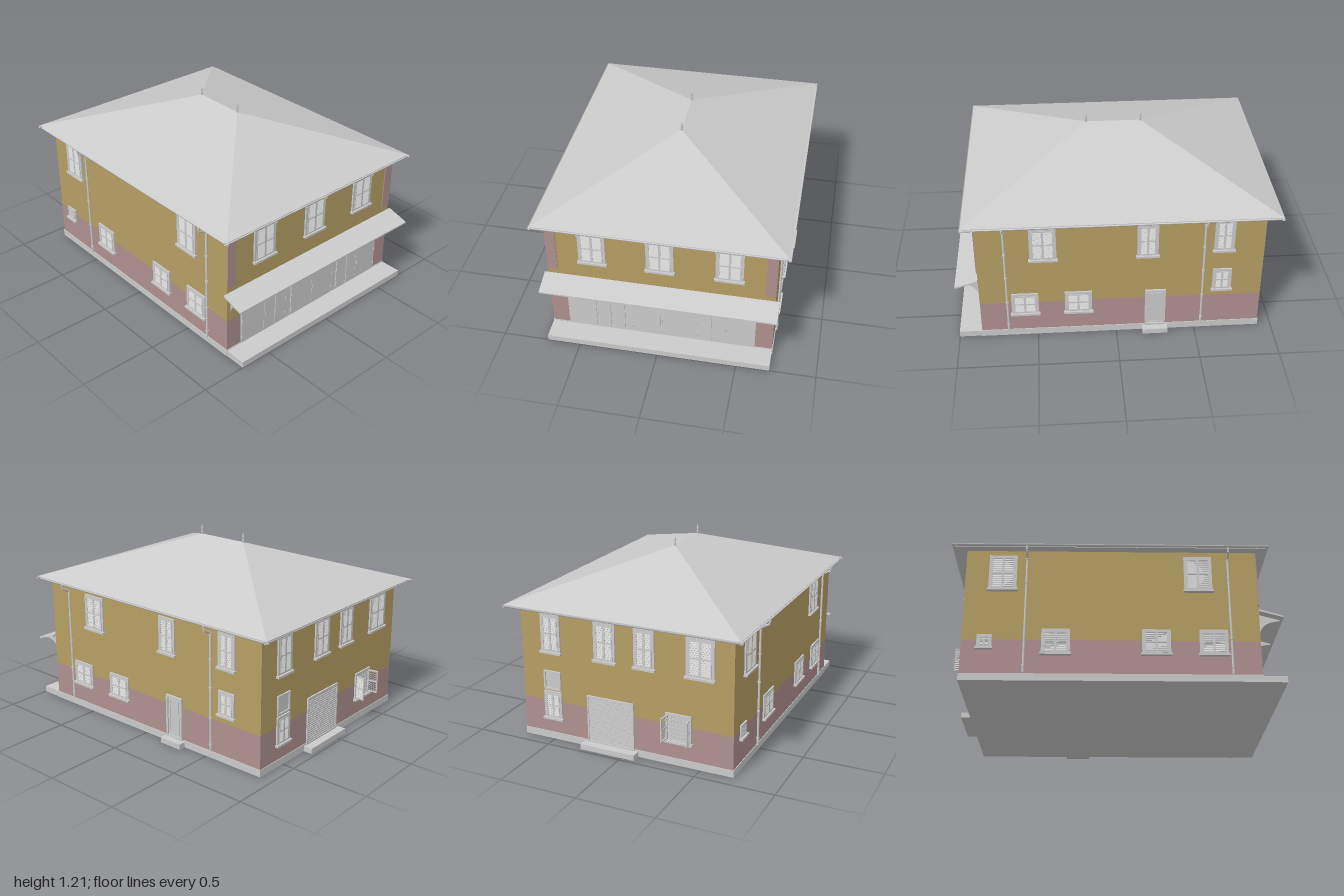
import * as THREE from 'three';
import { mergeGeometries } from 'three/addons/utils/BufferGeometryUtils.js';

const GREY = new THREE.MeshStandardMaterial({ color: 0xcccccc });
const THIN = new THREE.MeshStandardMaterial({ color: 0xcccccc, side: THREE.DoubleSide });
const YELLOW = new THREE.MeshStandardMaterial({ color: 0xb69f64 });
const PINK = new THREE.MeshStandardMaterial({ color: 0xb09090 });

const WALL_X = 0.71, FRONT = 0.857, BACK = -0.912, EAVE = 0.876;

function add(parent, name, geo, mat = GREY) {
  const mesh = new THREE.Mesh(geo, mat);
  mesh.name = name;
  parent.add(mesh);
  return mesh;
}

// Box geometry given by its limits
function span(x0, x1, y0, y1, z0, z1) {
  return new THREE.BoxGeometry(x1 - x0, y1 - y0, z1 - z0)
    .translate((x0 + x1) / 2, (y0 + y1) / 2, (z0 + z1) / 2);
}
const box = (parent, name, lim, mat) => add(parent, name, span(...lim), mat);

// Round bar between two points
function rod(a, b, r) {
  const A = new THREE.Vector3(...a), B = new THREE.Vector3(...b), d = B.clone().sub(A);
  const q = new THREE.Quaternion().setFromUnitVectors(new THREE.Vector3(0, 1, 0), d.clone().normalize());
  const m = A.add(B).multiplyScalar(0.5);
  return new THREE.CylinderGeometry(r, r, d.length(), 10).applyQuaternion(q).translate(m.x, m.y, m.z);
}

// Profile in the (outward, up) plane, extruded along the wall
function profile(points, width, u = 0) {
  const shape = points instanceof THREE.Shape ? points
    : new THREE.Shape(points.map(p => new THREE.Vector2(...p)));
  return new THREE.ExtrudeGeometry(shape, { depth: width, bevelEnabled: false, curveSegments: 10 })
    .rotateY(-Math.PI / 2).translate(u + width / 2, 0, 0);
}

// Rectangular surround lying on a wall
function frame(u0, u1, y0, y1, t, depth) {
  return mergeGeometries([
    span(u0, u0 + t, y0, y1, 0, depth), span(u1 - t, u1, y0, y1, 0, depth),
    span(u0 + t, u1 - t, y1 - t, y1, 0, depth), span(u0 + t, u1 - t, y0, y0 + t, 0, depth)]);
}

// Louvred leaf hinged at its local origin, dir is +1 or -1 along the wall
function leaf(w, h, dir) {
  const t = 0.007, parts = [frame(0, w, 0, h, t, 0.009)];
  const n = Math.round(h / 0.015);
  for (let i = 0; i < n; i++) {
    parts.push(new THREE.BoxGeometry(w - 2 * t, 0.013, 0.002).rotateX(-0.7)
      .translate(w / 2, t + (h - 2 * t) * (i + 0.5) / n, 0.0045));
  }
  parts.push(span(t, w - t, h / 2 - 0.005, h / 2 + 0.005, 0.001, 0.009));
  return mergeGeometries(parts).translate(dir < 0 ? -w : 0, 0, 0);
}

function shutterWindow(wall, u, y0, y1, w, { lintel = false, swing = 0 } = {}) {
  const g = new THREE.Group();
  g.name = 'window';
  wall.add(g);
  const t = 0.016, a = u - w / 2, b = u + w / 2, lw = w / 2 - t;
  add(g, 'windowSurround', frame(a, b, y0, y1, t, 0.01));
  box(g, 'windowSill', [a - 0.007, b + 0.007, y0 - 0.004, y0 + 0.01, 0, 0.022]);
  box(g, 'windowPane', [a + t, b - t, y0 + t, y1 - t, -0.004, 0.002]);
  for (const dir of [1, -1]) {
    const l = add(g, 'shutter', leaf(lw, y1 - y0 - 2 * t, dir));
    l.position.set(dir > 0 ? a + t : b - t, y0 + t, 0.004);
    l.rotation.y = -dir * swing;
  }
  if (lintel) {
    box(g, 'lintel', [a - 0.012, b + 0.012, y1, y1 + 0.022, 0, 0.03]);
    for (const x of [a + 0.004, b - 0.004]) box(g, 'lintelBracket', [x - 0.007, x + 0.007, y1 - 0.025, y1, 0, 0.02]);
  }
  if (swing) {
    const bars = [];
    for (let i = 1; i < 6; i++) {
      const x = a + t + (w - 2 * t) * i / 6, y = y0 + t + (y1 - y0 - 2 * t) * i / 6;
      bars.push(rod([x, y0 + t, 0.005], [x, y1 - t, 0.005], 0.002), rod([a + t, y, 0.005], [b - t, y, 0.005], 0.002));
    }
    add(g, 'windowGrille', mergeGeometries(bars));
  }
}

function downpipe(wall, u) {
  const p = [[u, 0.862, 0.068], [u, 0.835, 0.062], [u, 0.805, 0.009], [u, 0.045, 0.009]];
  const parts = p.slice(1).map((q, i) => rod(p[i], q, 0.007));
  for (const y of [0.09, 0.27, 0.46, 0.64, 0.8]) parts.push(rod([u, y - 0.005, 0.009], [u, y + 0.005, 0.009], 0.01));
  add(wall, 'downpipe', mergeGeometries(parts));
}

// Local frame of one wall: x along it, y up, z outwards
function wallGroup(root, name, x, z, turn) {
  const g = new THREE.Group();
  g.name = name;
  g.position.set(x, 0, z);
  g.rotation.y = turn;
  root.add(g);
  return g;
}

function hipRoof() {
  const X = 0.775, Z0 = -0.992, Z1 = 0.927;
  const c = [[-X, EAVE, Z1], [X, EAVE, Z1], [X, EAVE, Z0], [-X, EAVE, Z0]];
  const f = [0, 1.145, 0.15], k = [0, 1.145, -0.2];
  const tris = [c[0], c[1], f, c[1], c[2], k, c[1], k, f, c[2], c[3], k, c[3], c[0], f, c[3], f, k];
  const geo = new THREE.BufferGeometry();
  geo.setAttribute('position', new THREE.Float32BufferAttribute(tris.flat(), 3));
  geo.computeVertexNormals();
  return geo;
}

export function createModel() {
  const root = new THREE.Group();
  root.name = 'house';

  // Masonry and base
  box(root, 'plinth', [-0.714, 0.714, 0, 0.045, BACK - 0.004, FRONT + 0.004]);
  box(root, 'lowerWalls', [-WALL_X, WALL_X, 0.045, 0.26, BACK, FRONT], PINK);
  box(root, 'upperWalls', [-WALL_X, WALL_X, 0.26, 0.86, BACK, FRONT], YELLOW);
  box(root, 'frontStep', [-0.71, 0.71, 0, 0.04, FRONT, 1]);
  box(root, 'sideStep', [0.7, 0.76, 0, 0.035, -0.325, -0.165]);
  box(root, 'backStep', [-0.09, 0.28, 0, 0.035, -0.975, BACK]);

  // Roof, soffit, gutters and finials
  add(root, 'roof', hipRoof());
  box(root, 'soffit', [-0.765, 0.765, 0.86, EAVE, -0.982, 0.917]);
  const gutter = (len, turn, x, z) => {
    const g = add(root, 'gutter', new THREE.CylinderGeometry(0.011, 0.011, len, 10, 1, true, Math.PI / 2, Math.PI)
      .rotateX(Math.PI / 2).rotateZ(Math.PI).rotateY(turn), THIN);
    // Keep the rounded half underneath
    if (g.geometry.boundingBox === null) g.geometry.computeBoundingBox();
    if (g.geometry.boundingBox.max.y > 0.005) g.geometry.scale(1, -1, 1);
    g.position.set(x, 0.871, z);
  };
  for (const s of [-1, 1]) gutter(1.935, 0, s * 0.774, -0.0325);
  gutter(1.57, Math.PI / 2, 0, 0.924);
  gutter(1.57, Math.PI / 2, 0, -0.989);
  const knob = [[0, 0], [0.007, 0], [0.004, 0.012], [0.009, 0.02], [0.003, 0.028], [0.008, 0.04], [0.004, 0.052], [0, 0.066]];
  for (const z of [0.15, -0.2]) {
    add(root, 'finial', new THREE.LatheGeometry(knob.map(p => new THREE.Vector2(...p)), 12)).position.set(0, 1.14, z);
  }

  // Front: windows, corner panels, folding doors and canopy
  const front = wallGroup(root, 'frontWall', 0, FRONT, 0);
  for (const u of [-0.42, 0, 0.425]) shutterWindow(front, u, 0.585, 0.825, 0.17, { lintel: true });
  for (const s of [-1, 1]) {
    box(front, 'cornerPanel', [s * 0.6775 - 0.0325, s * 0.6775 + 0.0325, 0.5, 0.857, 0, 0.006], PINK);
  }
  box(front, 'doorSurround', [-0.6, 0.6, 0.045, 0.375, 0, 0.003]);
  for (const u of [-0.415, 0, 0.415]) {
    const d = new THREE.Group();
    d.name = 'foldingDoor';
    d.position.x = u;
    front.add(d);
    const seams = u ? [0, Math.sign(u) * -0.092] : [0];
    const edges = [-0.185, ...seams, 0.185].sort((a, b) => a - b);
    for (let i = 1; i < edges.length; i++) {
      box(d, 'doorLeaf', [edges[i - 1] + 0.001, edges[i] - 0.001, 0.047, 0.368, 0, 0.009]);
    }
    for (const x of [-0.181, 0.181]) for (const y of [0.09, 0.2, 0.33]) {
      add(d, 'hinge', rod([x, y - 0.008, 0.01], [x, y + 0.008, 0.01], 0.004));
    }
    add(d, 'doorHandle', rod([0.008, 0.16, 0.014], [0.008, 0.185, 0.014], 0.003));
    if (u) add(d, 'doorBolt', rod([seams[1], 0.065, 0.012], [seams[1], 0.35, 0.012], 0.003));
  }
  box(front, 'doorBeam', [-0.65, 0.65, 0.382, 0.408, 0, 0.02]);
  add(front, 'canopy', profile([[0, 0.448], [0.143, 0.408], [0.143, 0.418], [0, 0.461]], 1.47));
  const bracket = new THREE.Shape();
  bracket.moveTo(0, 0.31);
  bracket.quadraticCurveTo(0.015, 0.4, 0.125, 0.405);
  bracket.lineTo(0.125, 0.415);
  bracket.lineTo(0, 0.45);
  for (const u of [-0.68, -0.343, 0.343, 0.68]) add(front, 'canopyBracket', profile(bracket, 0.008, u));

  // Left side (+x): along-wall coordinate runs opposite to z
  const left = wallGroup(root, 'leftWall', WALL_X, 0, Math.PI / 2);
  shutterWindow(left, -0.45, 0.585, 0.82, 0.165);
  shutterWindow(left, 0.19, 0.585, 0.82, 0.13);
  shutterWindow(left, 0.66, 0.605, 0.835, 0.125);
  shutterWindow(left, 0.66, 0.305, 0.465, 0.12);
  for (const u of [-0.575, -0.24]) shutterWindow(left, u, 0.17, 0.33, 0.17);
  add(left, 'sideDoorSurround', frame(0.18, 0.31, 0.04, 0.32, 0.014, 0.014));
  box(left, 'sideDoor', [0.194, 0.296, 0.045, 0.306, 0, 0.005]);
  add(left, 'sideDoorPanel', frame(0.207, 0.283, 0.065, 0.295, 0.006, 0.009));
  add(left, 'sideDoorHandle', rod([0.2, 0.165, 0.012], [0.2, 0.185, 0.012], 0.003));
  for (const u of [-0.685, 0.54]) downpipe(left, u);

  // Right side (-x)
  const right = wallGroup(root, 'rightWall', -WALL_X, 0, -Math.PI / 2);
  for (const u of [-0.685, 0.5]) shutterWindow(right, u, 0.585, 0.825, 0.17);
  for (const u of [-0.355, 0.24, 0.58]) shutterWindow(right, u, 0.165, 0.33, 0.17);
  shutterWindow(right, -0.775, 0.2, 0.29, 0.09);
  for (const u of [0.685, -0.54]) downpipe(right, u);

  // Back: along-wall coordinate runs opposite to x
  const back = wallGroup(root, 'backWall', 0, BACK, Math.PI);
  for (const [u, w] of [[-0.5, 0.135], [-0.125, 0.145], [0.14, 0.135], [0.5, 0.18]]) shutterWindow(back, u, 0.58, 0.83, w);
  shutterWindow(back, -0.5, 0.14, 0.325, 0.125);
  add(back, 'transomSurround', frame(-0.56, -0.44, 0.335, 0.46, 0.012, 0.01));
  box(back, 'transomPane', [-0.548, -0.452, 0.347, 0.448, 0, 0.002]);
  shutterWindow(back, 0.36, 0.15, 0.335, 0.17, { swing: 1.7 });

  // Ribbed garage door
  add(back, 'garageSurround', frame(-0.255, 0.065, 0.035, 0.345, 0.01, 0.01));
  const ribs = [];
  for (let i = 0; i < 20; i++) ribs.push(span(-0.245, 0.055, 0.047 + i * 0.0145, 0.057 + i * 0.0145, 0, 0.007));
  for (let i = 0; i <= 20; i++) ribs.push(span(-0.247 + i * 0.015, -0.243 + i * 0.015, 0.045, 0.335, 0, 0.004));
  add(back, 'garageDoor', mergeGeometries(ribs));
  box(back, 'garageDoorPanel', [-0.245, 0.055, 0.045, 0.335, -0.002, 0.002]);

  return root;
}
